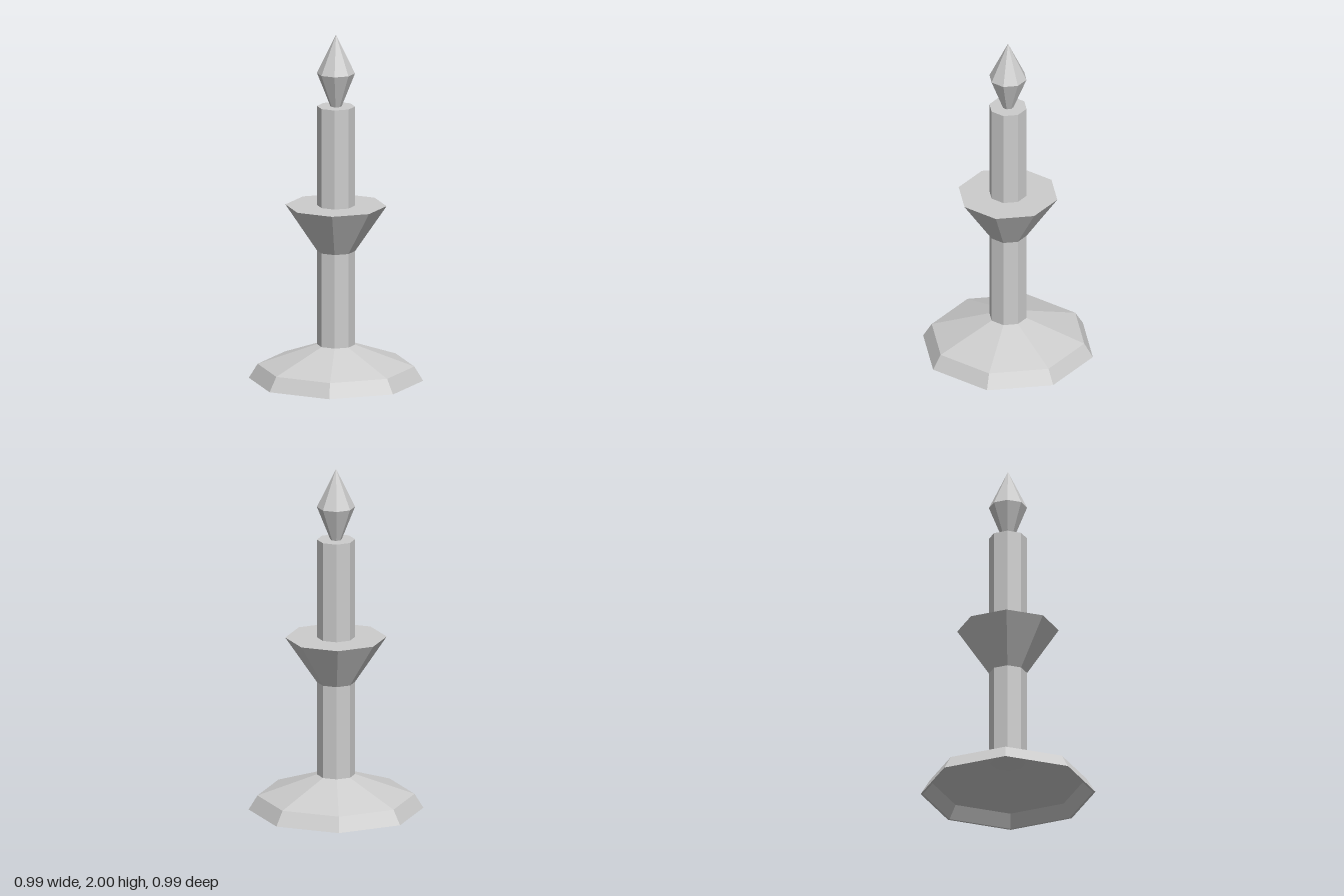
import * as THREE from 'three';

// Low-poly candlestick: every part is an eight-sided turned solid.
export function createModel() {
  const group = new THREE.Group();
  group.name = 'candlestick';

  const grey = new THREE.MeshStandardMaterial({ color: 0xcccccc });
  grey.name = 'light grey';
  grey.flatShading = true;

  // Profiles run from the bottom centre, outwards and up to the top centre.
  const turn = (name, profile) => {
    const points = profile.map(([r, y]) => new THREE.Vector2(r, y));
    const mesh = new THREE.Mesh(new THREE.LatheGeometry(points, 8), grey);
    mesh.name = name;
    group.add(mesh);
  };

  // Hollow foot with a bevelled rim
  turn('base', [
    [0, 0.185], [0.1, 0.185], [0.432, 0.072], [0.481, 0],
    [0.494, 0], [0.444, 0.082], [0.108, 0.203], [0, 0.203],
  ]);

  // Stem below the drip cup
  turn('stem', [[0, 0.19], [0.108, 0.19], [0.108, 0.746], [0, 0.746]]);

  // Flared drip cup with a flat top
  turn('dripCup', [[0, 0.746], [0.108, 0.746], [0.287, 1.01], [0, 1.01]]);

  // Candle standing on the cup
  turn('candle', [[0, 1.005], [0.108, 1.005], [0.108, 1.585], [0, 1.585]]);

  // Pointed flame
  turn('flame', [[0, 1.58], [0.03, 1.58], [0.108, 1.777], [0, 2]]);

  return group;
}
